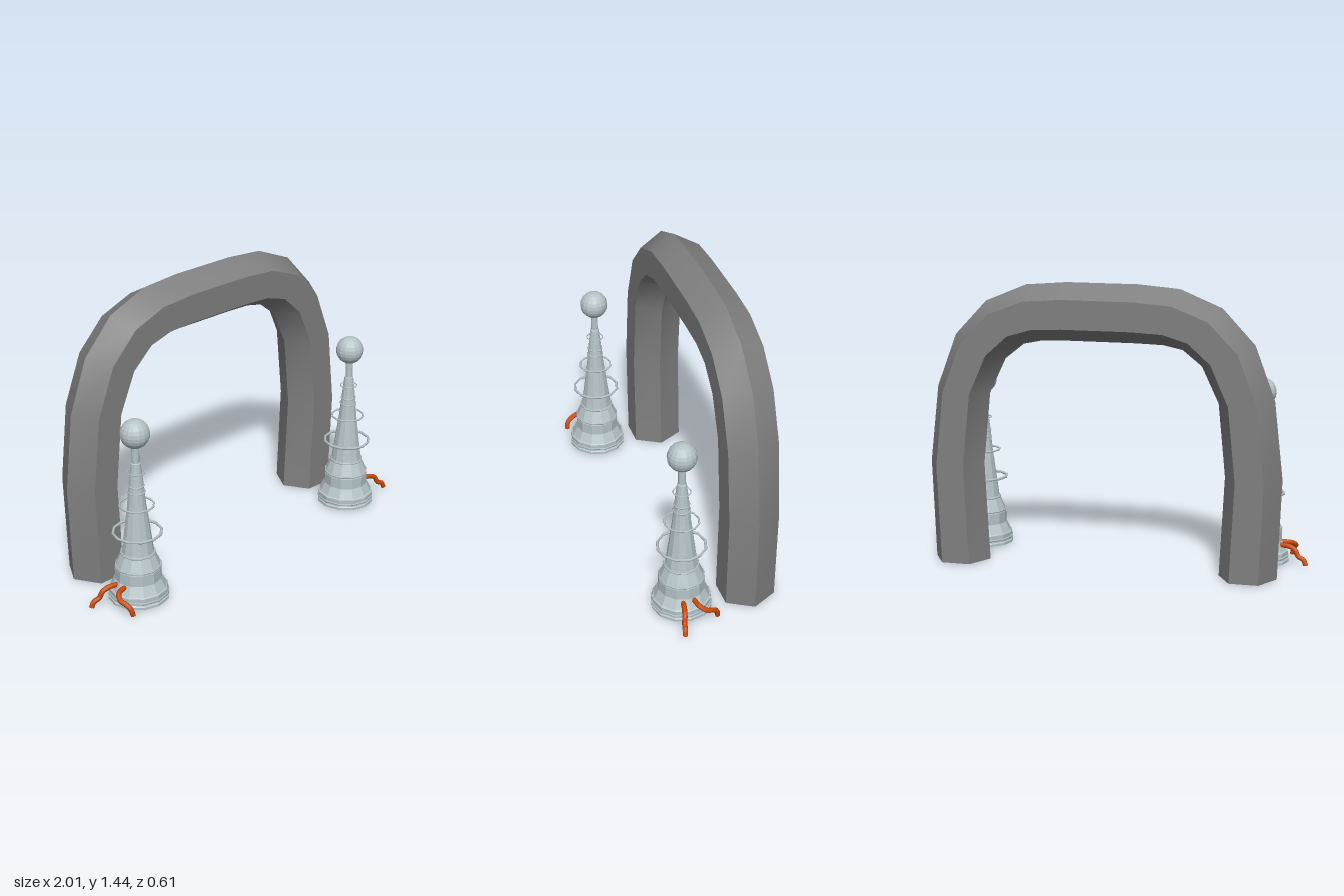
import * as THREE from 'three';
import { toCreasedNormals } from 'three/addons/utils/BufferGeometryUtils.js';

const stone = new THREE.MeshStandardMaterial({ name: 'stone grey', color: 0x808080 });
const metal = new THREE.MeshStandardMaterial({ name: 'pale metal', color: 0xb6c4c8, side: THREE.DoubleSide });
const cable = new THREE.MeshStandardMaterial({ name: 'orange cable', color: 0xc84a08 });

function add(parent, name, geometry, material, y = 0) {
  const mesh = new THREE.Mesh(geometry, material);
  mesh.name = name;
  mesh.position.y = y;
  parent.add(mesh);
  return mesh;
}

const flat = (geometry) => {
  const g = geometry.toNonIndexed();
  g.computeVertexNormals();
  return g;
};

// Hexagonal beam swept over the arch: each station is outer x, y and inner x, y
function archGeometry() {
  const half = [
    [0.888, 0, 0.597, 0], [0.907, 0.505, 0.622, 0.505], [0.863, 0.895, 0.586, 0.87],
    [0.763, 1.163, 0.501, 1.05], [0.6, 1.338, 0.405, 1.127], [0.39, 1.425, 0.31, 1.147],
    [0.18, 1.442, 0.175, 1.151],
  ];
  const mirrored = half.map(([a, b, c, d]) => [-a, b, -c, d]).reverse();
  const stations = [...half, ...mirrored];
  const pos = [], index = [];
  for (const [ox, oy, ix, iy] of stations) {
    for (let k = 0; k < 6; k++) {
      const a = k * Math.PI / 3, t = (1 + Math.cos(a)) / 2;
      pos.push(ix + (ox - ix) * t, iy + (oy - iy) * t, -0.18 + 0.1465 * Math.sin(a));
    }
  }
  const last = (stations.length - 1) * 6;
  for (let s = 0; s < last; s += 6) {
    for (let k = 0; k < 6; k++) {
      const n = (k + 1) % 6;
      index.push(s + k, s + 6 + k, s + n, s + n, s + 6 + k, s + 6 + n);
    }
  }
  // Foot caps
  for (let k = 1; k < 5; k++) {
    index.push(0, k, k + 1, last, last + k + 1, last + k);
  }
  const g = new THREE.BufferGeometry();
  g.setAttribute('position', new THREE.Float32BufferAttribute(pos, 3));
  g.setIndex(index);
  return toCreasedNormals(g, 0.75);
}

function tower(name, x, turn) {
  const group = new THREE.Group();
  group.name = name;
  group.position.set(x, 0, 0.153);
  group.rotation.y = turn;

  // Stepped conical body, open underneath
  const profile = [
    [0.152, 0], [0.152, 0.012], [0.147, 0.018], [0.147, 0.055], [0.14, 0.06], [0.116, 0.108],
    [0.116, 0.165], [0.111, 0.18], [0.086, 0.238], [0.08, 0.25], [0.047, 0.5], [0.041, 0.565],
    [0.037, 0.605], [0.024, 0.722], [0.019, 0.725], [0.019, 0.82],
  ].map(([r, y]) => new THREE.Vector2(r, y));
  add(group, 'towerBody', flat(new THREE.LatheGeometry(profile, 12)), metal);
  add(group, 'topBall', flat(new THREE.SphereGeometry(0.073, 16, 12)), metal, 0.877);

  // Bands hugging the body and wider rings around it: height, radius, thickness
  const rings = [
    [0.03, 0.147, 0.005], [0.175, 0.112, 0.005], [0.244, 0.084, 0.005], [0.57, 0.041, 0.004],
    [0.603, 0.037, 0.004], [0.355, 0.12, 0.007], [0.5, 0.085, 0.005], [0.675, 0.043, 0.003],
  ];
  for (const [y, r, t] of rings) {
    const ring = add(group, 'ring', new THREE.TorusGeometry(r, t, 6, 12), metal, y);
    ring.rotation.x = Math.PI / 2;
  }

  // Two bent cables running from the base to the ground
  const paths = [
    [[0.1, 0.09, 0.025], [0.155, 0.09, 0.036], [0.19, 0.075, 0.045], [0.208, 0.042, 0.052],
      [0.235, 0.03, 0.058], [0.248, 0.003, 0.062]],
    [[0.1, 0.095, -0.025], [0.158, 0.09, -0.04], [0.178, 0.07, -0.072], [0.17, 0.058, -0.103],
      [0.16, 0.038, -0.128], [0.152, 0.003, -0.136]],
  ];
  for (const path of paths) {
    const curve = new THREE.CatmullRomCurve3(path.map((p) => new THREE.Vector3(...p)));
    add(group, 'cable', new THREE.TubeGeometry(curve, 20, 0.013, 8), cable);
    // Closed lower tip
    const tip = add(group, 'cableTip', new THREE.SphereGeometry(0.013, 8, 4), cable);
    tip.position.set(...path[5]);
    tip.position.y = 0.005;
    tip.scale.y = 0.35;
  }
  return group;
}

export function createModel() {
  const model = new THREE.Group();
  model.name = 'archWithTowers';
  add(model, 'arch', archGeometry(), stone);
  model.add(tower('leftTower', 0.738, 0), tower('rightTower', -0.746, Math.PI));
  return model;
}
